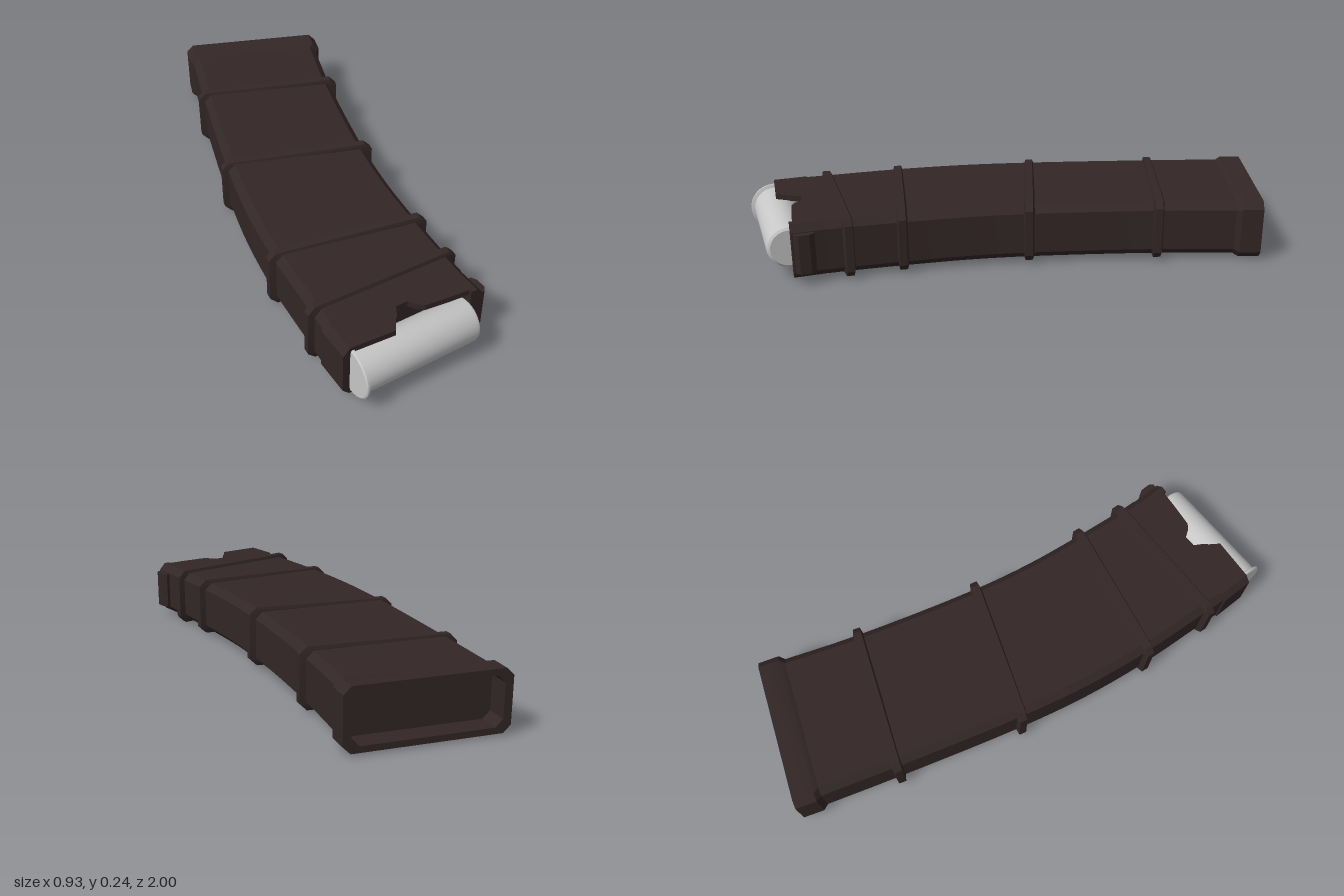
import * as THREE from 'three';
import { toCreasedNormals } from 'three/addons/utils/BufferGeometryUtils.js';

const Y0 = 0.025, Y1 = 0.235, CHAMFER = 0.027;

// Left and right edges of the curved case, front to back, as [x, z]
const edge = pts => new THREE.CatmullRomCurve3(pts.map(([x, z]) => new THREE.Vector3(x, 0, z)));
const leftEdge = edge([[-0.452, 0.78], [-0.445, 0.69], [-0.425, 0.40], [-0.387, 0.13],
  [-0.326, -0.14], [-0.19, -0.62], [-0.075, -0.995]]);
const rightEdge = edge([[0.09, 0.78], [0.095, 0.70], [0.113, 0.505], [0.142, 0.27],
  [0.188, 0.04], [0.318, -0.43], [0.445, -0.80]]);

// Chamfered 8-point ring across the case at t, moved s along it and grown by e
function ring(t, s = 0, e = 0, roll = 0, side = e) {
  const L = leftEdge.getPoint(t).addScaledVector(leftEdge.getTangent(t), s);
  const R = rightEdge.getPoint(t).addScaledVector(rightEdge.getTangent(t), s);
  const across = R.clone().sub(L).normalize();
  L.addScaledVector(across, -side);
  R.addScaledVector(across, side);
  const w = L.distanceTo(R), b = Y0 - e, h = Y1 + e, c = CHAMFER;
  return [[c, b], [w - c, b], [w, b + c], [w, h - c], [w - c, h], [c, h], [0, h - c], [0, b + c]]
    .map(([u, y]) => L.clone().addScaledVector(across, u).setY(y + roll * (u / w - 0.5)));
}

// Skin over rings running front to back, capped at both ends
function loft(rings) {
  const p = [];
  const tri = (...v) => v.forEach(q => p.push(q.x, q.y, q.z));
  for (let k = 0; k < rings.length - 1; k++) {
    const a = rings[k], b = rings[k + 1];
    for (let i = 0; i < 8; i++) {
      const j = (i + 1) % 8;
      tri(a[i], b[i], a[j]);
      tri(a[j], b[i], b[j]);
    }
  }
  const first = rings[0], last = rings[rings.length - 1];
  for (let i = 1; i < 7; i++) {
    tri(first[0], first[i], first[i + 1]);
    tri(last[0], last[i + 1], last[i]);
  }
  const g = new THREE.BufferGeometry();
  g.setAttribute('position', new THREE.Float32BufferAttribute(p, 3));
  return toCreasedNormals(g, 0.4);
}

const extrude = (pts, depth) => new THREE.ExtrudeGeometry(
  new THREE.Shape(pts.map(([x, y]) => new THREE.Vector2(x, y))), { depth, bevelEnabled: false });

export function createModel() {
  const group = new THREE.Group();
  const brown = new THREE.MeshStandardMaterial({ color: 0x332626 });
  brown.name = 'darkBrown';
  const steel = new THREE.MeshStandardMaterial({ color: 0xc6c6c6 });
  steel.name = 'paleSteel';
  const add = (name, geometry, material = brown) => {
    const mesh = new THREE.Mesh(geometry, material);
    mesh.name = name;
    group.add(mesh);
    return mesh;
  };

  // Curved case
  const rings = [];
  for (let i = 0; i < 24; i++) rings.push(ring(i / 24));
  rings.push(ring(1, -0.09));
  add('case', loft(rings));

  // Raised bands round the case: [control point, roll]
  for (const [k, roll] of [[1, 0], [2, 0.008], [4, 0.012], [5, 0.008]]) {
    const t = k / 6;
    add('band', loft([ring(t, -0.02, 0, roll), ring(t, -0.014, 0.011, roll, 0.022),
      ring(t, 0.014, 0.011, roll, 0.022), ring(t, 0.02, 0, roll)]));
  }

  // Flared base with a shallow recess in its end
  add('base', loft([ring(1, -0.1), ring(1, -0.08, 0.008, 0, 0.016), ring(1, 0, 0.008, 0, 0.014),
    ring(1, 0, -0.015, 0, -0.015), ring(1, -0.08, -0.015, 0, -0.015)]));

  // Mouth: notched lips above and below
  const lip = [[-0.432, 0.77], [0.06, 0.77], [0.06, 0.89], [-0.03, 0.882], [-0.125, 0.87],
    [-0.145, 0.855], [-0.165, 0.825], [-0.21, 0.825], [-0.23, 0.86], [-0.245, 0.875],
    [-0.27, 0.912], [-0.432, 0.90]];
  for (const top of [Y1, Y0 + 0.022]) {
    add('mouthLip', extrude(lip, 0.022).rotateX(Math.PI / 2)).position.y = top;
  }

  // Mouth: chamfered end walls, thin on one side and solid on the other
  for (const [inner, corner, outer] of [[-0.432, -0.433, -0.458], [0.038, 0.062, 0.088]]) {
    const wall = [[inner, Y0], [corner, Y0], [outer, Y0 + CHAMFER], [outer, Y1 - CHAMFER],
      [corner, Y1], [inner, Y1]];
    add('mouthWall', extrude(wall, 0.13)).position.z = 0.77;
  }

  // Small catch beside the mouth
  const catchShape = [[0.08, 0.82], [0.1, 0.82], [0.112, 0.84], [0.112, 0.88], [0.1, 0.895], [0.08, 0.895]];
  add('sideCatch', extrude(catchShape, 0.15).rotateX(Math.PI / 2)).position.y = 0.205;

  // Cylinder lying across the mouth, with a rim at one end
  const profile = [[0, 0], [0.088, 0], [0.093, 0.004], [0.093, 0.011], [0.08, 0.016], [0.08, 0.44],
    [0.077, 0.45], [0.068, 0.457], [0, 0.457]].map(([r, h]) => new THREE.Vector2(r, h));
  const cylinder = add('cylinder', toCreasedNormals(new THREE.LatheGeometry(profile, 40), 0.5), steel);
  cylinder.rotation.z = -Math.PI / 2;
  cylinder.position.set(-0.43, 0.129, 0.905);

  return group;
}
